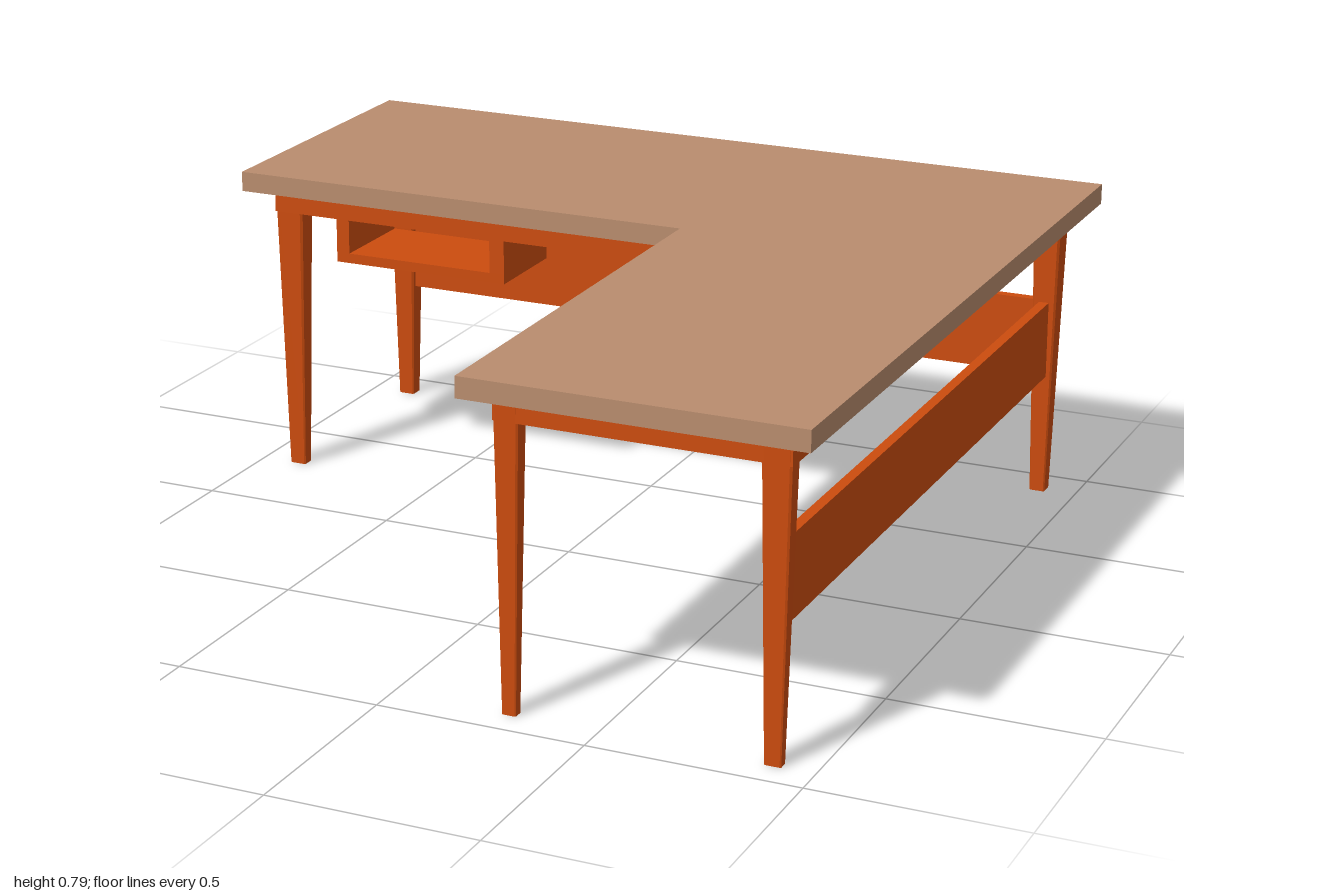
import * as THREE from 'three';

export function createModel() {
  const group = new THREE.Group();
  const wood = new THREE.MeshStandardMaterial({ color: 0xb98c6e });
  const paint = new THREE.MeshStandardMaterial({ color: 0xcc4c0e, flatShading: true });

  function add(name, geometry, material = paint) {
    const mesh = new THREE.Mesh(geometry, material);
    mesh.name = name;
    group.add(mesh);
    return mesh;
  }

  // Box given by its minimum and maximum corners
  function box(name, [x0, y0, z0], [x1, y1, z1]) {
    const mesh = add(name, new THREE.BoxGeometry(x1 - x0, y1 - y0, z1 - z0));
    mesh.position.set((x0 + x1) / 2, (y0 + y1) / 2, (z0 + z1) / 2);
  }

  // L-shaped slab: outer edge at +-o, inner corner at (i, -i)
  function slab(name, o, i, y0, y1, material) {
    const pts = [[-o, o], [-o, i], [i, i], [i, -o], [o, -o], [o, o]];
    const shape = new THREE.Shape(pts.map(([x, y]) => new THREE.Vector2(x, y)));
    const geo = new THREE.ExtrudeGeometry(shape, { depth: y1 - y0, bevelEnabled: false });
    geo.rotateX(-Math.PI / 2).translate(0, y0, 0);
    add(name, geo, material);
  }

  slab('tableTop', 1, 0.2, 0.74, 0.79, wood);
  slab('underFrame', 0.938, 0.257, 0.68, 0.74, paint);

  // Tapered leg with chamfered corners, w by d at the top
  const legHeight = 0.74;
  function leg(name, x, z, w, d) {
    const c = 0.08, h = 0.5;
    const pts = [[-h + c, -h], [h - c, -h], [h, -h + c], [h, h - c],
      [h - c, h], [-h + c, h], [-h, h - c], [-h, -h + c]];
    const shape = new THREE.Shape(pts.map(([a, b]) => new THREE.Vector2(a, b)));
    const geo = new THREE.ExtrudeGeometry(shape, { depth: legHeight, bevelEnabled: false });
    geo.rotateX(-Math.PI / 2);
    const p = geo.attributes.position;
    for (let i = 0; i < p.count; i++) {
      const s = 0.56 + 0.44 * p.getY(i) / legHeight;
      p.setX(i, p.getX(i) * w * s);
      p.setZ(i, p.getZ(i) * d * s);
    }
    geo.computeVertexNormals();
    add(name, geo).position.set(x, 0, z);
  }

  leg('sideFrontLeg', -0.9, -0.287, 0.076, 0.06);
  leg('sideBackLeg', -0.9, -0.903, 0.076, 0.07);
  leg('cornerLeg', 0.903, -0.903, 0.07, 0.07);
  leg('frontInnerLeg', 0.287, 0.916, 0.06, 0.046);
  leg('frontOuterLeg', 0.903, 0.916, 0.07, 0.046);

  // Modesty panels between the outer legs
  box('backPanel', [-0.89, 0.31, -0.915], [0.9, 0.505, -0.89]);
  box('sidePanel', [0.89, 0.31, -0.9], [0.915, 0.505, 0.91]);

  // Open cubby hung below the frame
  const z0 = -0.545, z1 = -0.297;
  box('cubbyFloor', [-0.785, 0.555, z0], [-0.315, 0.58, z1]);
  box('cubbyRightWall', [-0.785, 0.58, z0], [-0.75, 0.68, z1]);
  box('cubbyLeftWall', [-0.355, 0.58, z0], [-0.315, 0.68, z1]);

  return group;
}
